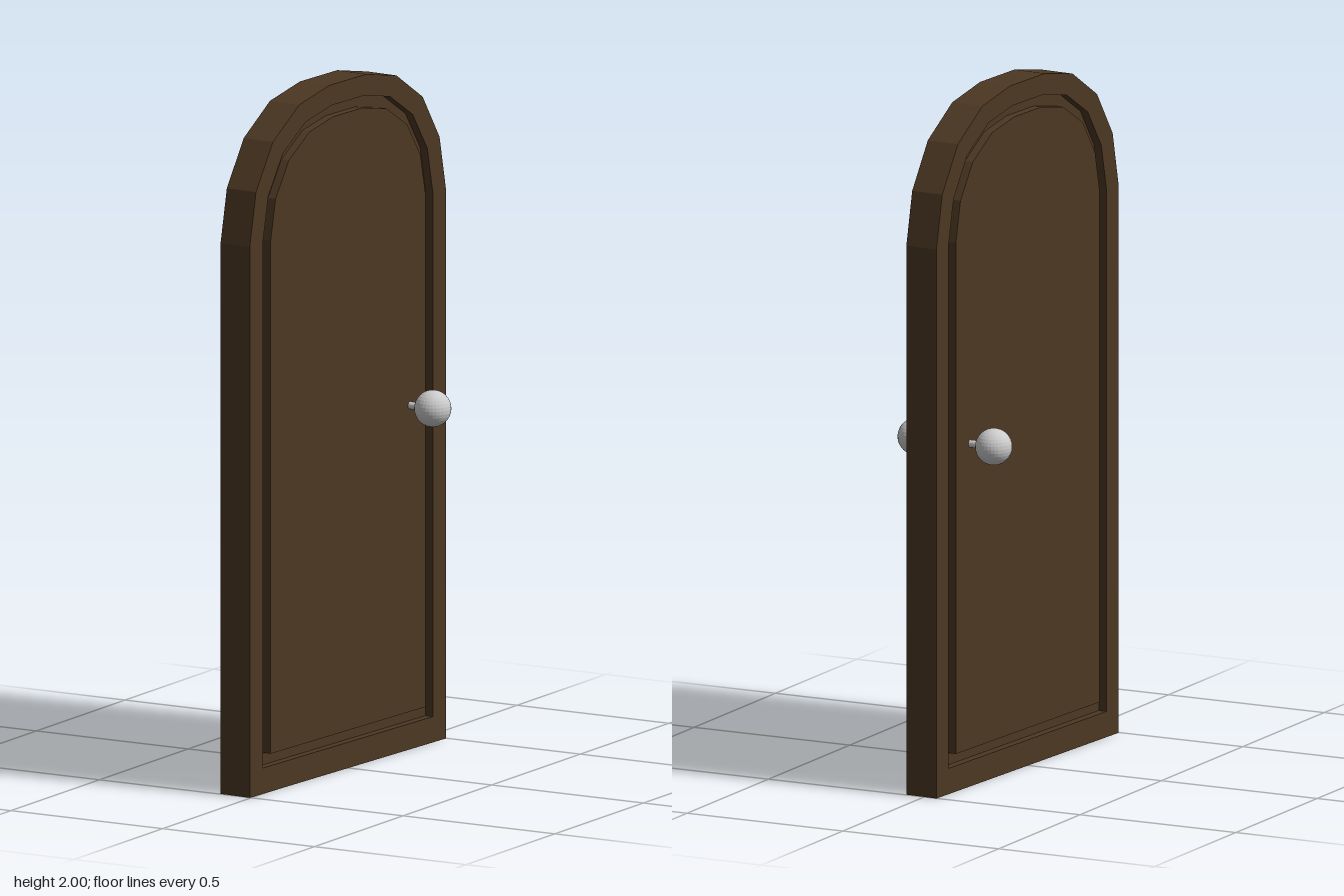
import * as THREE from 'three';

// Right half of the arch above the spring line, as [across, up]
const ARCH = [[0.5, 0], [0.468, 0.154], [0.382, 0.285], [0.248, 0.37], [0.095, 0.4]];

// Arched outline, scaled from the full door size
function archPoints(scaleX, scaleY, bottom) {
  const right = ARCH.map(([x, y]) => new THREE.Vector2(x * scaleX, 1.6 + y * scaleY));
  const left = right.map((p) => new THREE.Vector2(-p.x, p.y)).reverse();
  return [
    new THREE.Vector2(-0.5 * scaleX, bottom),
    new THREE.Vector2(0.5 * scaleX, bottom),
    ...right,
    ...left,
  ];
}

// Slab of the given thickness, centred on z = 0
function slab(name, outline, thickness, material, hole) {
  const shape = new THREE.Shape(outline);
  if (hole) shape.holes.push(new THREE.Path(hole));
  const geometry = new THREE.ExtrudeGeometry(shape, { depth: thickness, bevelEnabled: false });
  geometry.translate(0, 0, -thickness / 2);
  const mesh = new THREE.Mesh(geometry, material);
  mesh.name = name;
  return mesh;
}

export function createModel() {
  const model = new THREE.Group();
  model.name = 'archedDoor';
  const wood = new THREE.MeshStandardMaterial({ color: 0x4c3823, flatShading: true });
  const metal = new THREE.MeshStandardMaterial({ color: 0xcccccc, flatShading: true });

  // The door leaf stands slightly ajar
  const door = new THREE.Group();
  door.name = 'doorLeaf';
  door.position.x = -0.022;
  door.rotation.y = Math.PI / 2 - 0.063;
  model.add(door);

  // Frame and panel, parted by a groove on both faces
  const grooveOuter = archPoints(0.867, 0.85, 0.075);
  const grooveInner = archPoints(0.79, 0.765, 0.11);
  door.add(slab('frame', archPoints(1, 1, 0), 0.1, wood, grooveOuter));
  door.add(slab('grooveFloor', grooveOuter, 0.05, wood));
  door.add(slab('panel', grooveInner, 0.102, wood));

  // Knob and stem on each face
  for (const side of [1, -1]) {
    const handle = new THREE.Group();
    handle.name = side > 0 ? 'leftHandle' : 'rightHandle';
    handle.position.set(0.316, 1, 0);

    const stem = new THREE.Mesh(new THREE.CylinderGeometry(0.011, 0.011, 0.1, 16), metal);
    stem.name = 'stem';
    stem.rotation.x = Math.PI / 2;
    stem.position.z = side * 0.08;

    const knob = new THREE.Mesh(new THREE.SphereGeometry(0.053, 32, 16), metal);
    knob.name = 'knob';
    knob.position.z = side * 0.129;

    handle.add(stem, knob);
    door.add(handle);
  }
  return model;
}
